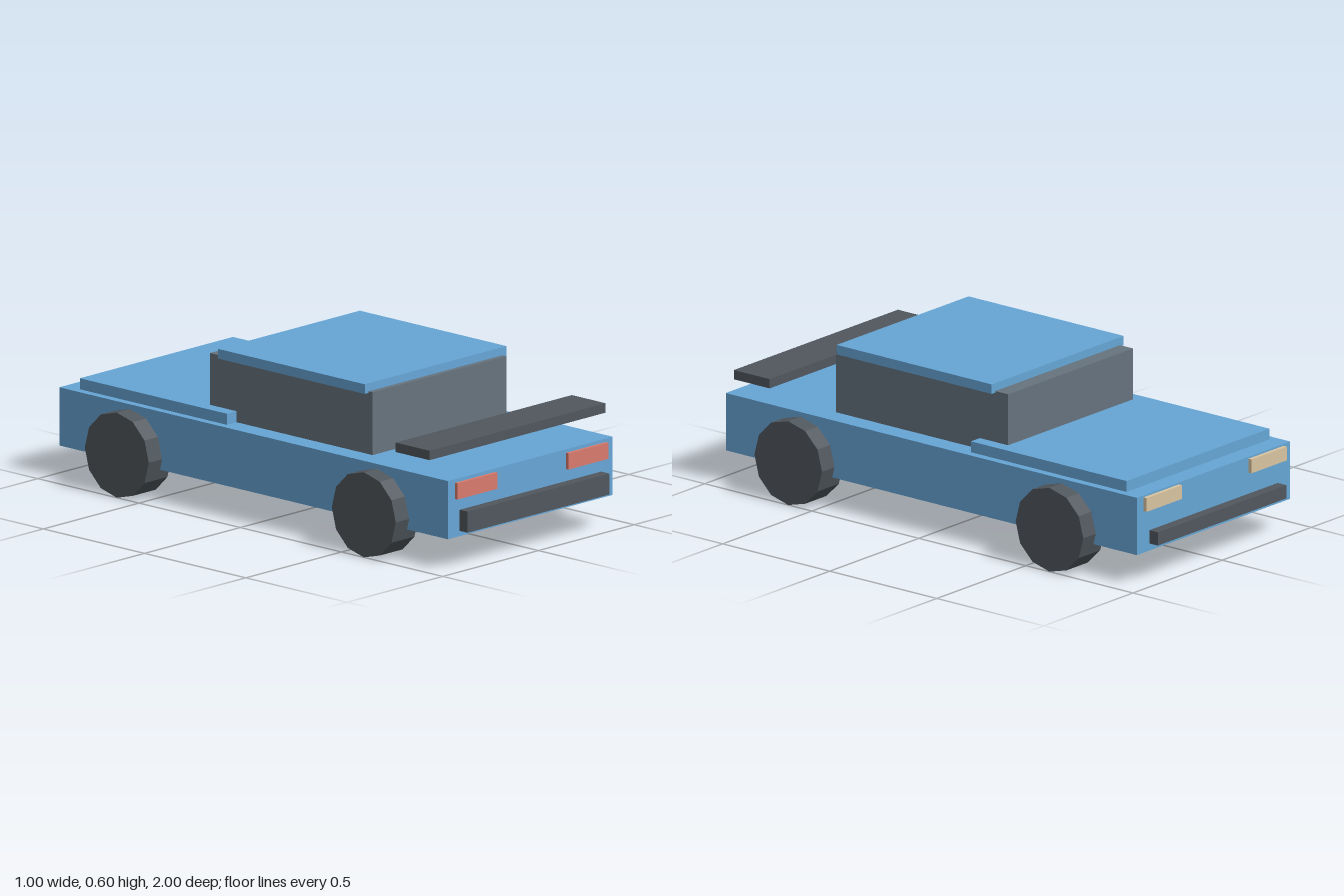
import * as THREE from 'three';

const paint = (color) => new THREE.MeshStandardMaterial({ color, flatShading: true });

export function createModel() {
  const car = new THREE.Group();
  car.name = 'car';

  const blue = paint(0x66a6d6);
  const glass = paint(0x66737e);
  const dark = paint(0x50575d);
  const red = paint(0xd97b6c);
  const cream = paint(0xd8c4a0);

  // Box given by its extents along each axis
  function box(name, material, [x0, x1], [y0, y1], [z0, z1]) {
    const mesh = new THREE.Mesh(new THREE.BoxGeometry(x1 - x0, y1 - y0, z1 - z0), material);
    mesh.position.set((x0 + x1) / 2, (y0 + y1) / 2, (z0 + z1) / 2);
    mesh.name = name;
    car.add(mesh);
  }

  // Bodywork; the bonnet points to -z
  box('body', blue, [-0.43, 0.43], [0.12, 0.336], [-0.96, 0.96]);
  box('bonnet', blue, [-0.4, 0.4], [0.32, 0.377], [-0.887, -0.16]);
  box('cabin', glass, [-0.35, 0.35], [0.33, 0.569], [-0.292, 0.512]);
  box('roof', blue, [-0.37, 0.37], [0.563, 0.599], [-0.232, 0.492]);

  // Spoiler and bumpers
  box('spoiler', dark, [-0.46, 0.46], [0.408, 0.443], [0.73, 0.897]);
  box('rearBumper', dark, [-0.37, 0.37], [0.14, 0.218], [0.93, 1]);
  box('frontBumper', dark, [-0.36, 0.36], [0.147, 0.197], [-1, -0.93]);

  // Lights, mirrored left and right
  for (const [side, s] of [['left', 1], ['right', -1]]) {
    const span = (a, b) => (s > 0 ? [a, b] : [-b, -a]);
    box(side + 'TailLight', red, span(0.186, 0.394), [0.263, 0.323], [0.94, 0.973]);
    box(side + 'Headlight', cream, span(0.195, 0.393), [0.277, 0.329], [-0.975, -0.94]);
  }

  // Twelve-sided wheels with a vertex at the bottom
  const wheelGeometry = new THREE.CylinderGeometry(0.158, 0.158, 0.12, 12).rotateZ(Math.PI / 2);
  for (const [side, x] of [['Left', 0.44], ['Right', -0.44]]) {
    for (const [end, z] of [['front', -0.61], ['rear', 0.61]]) {
      const wheel = new THREE.Mesh(wheelGeometry, dark);
      wheel.position.set(x, 0.161, z);
      wheel.name = end + side + 'Wheel';
      car.add(wheel);
    }
  }
  return car;
}
